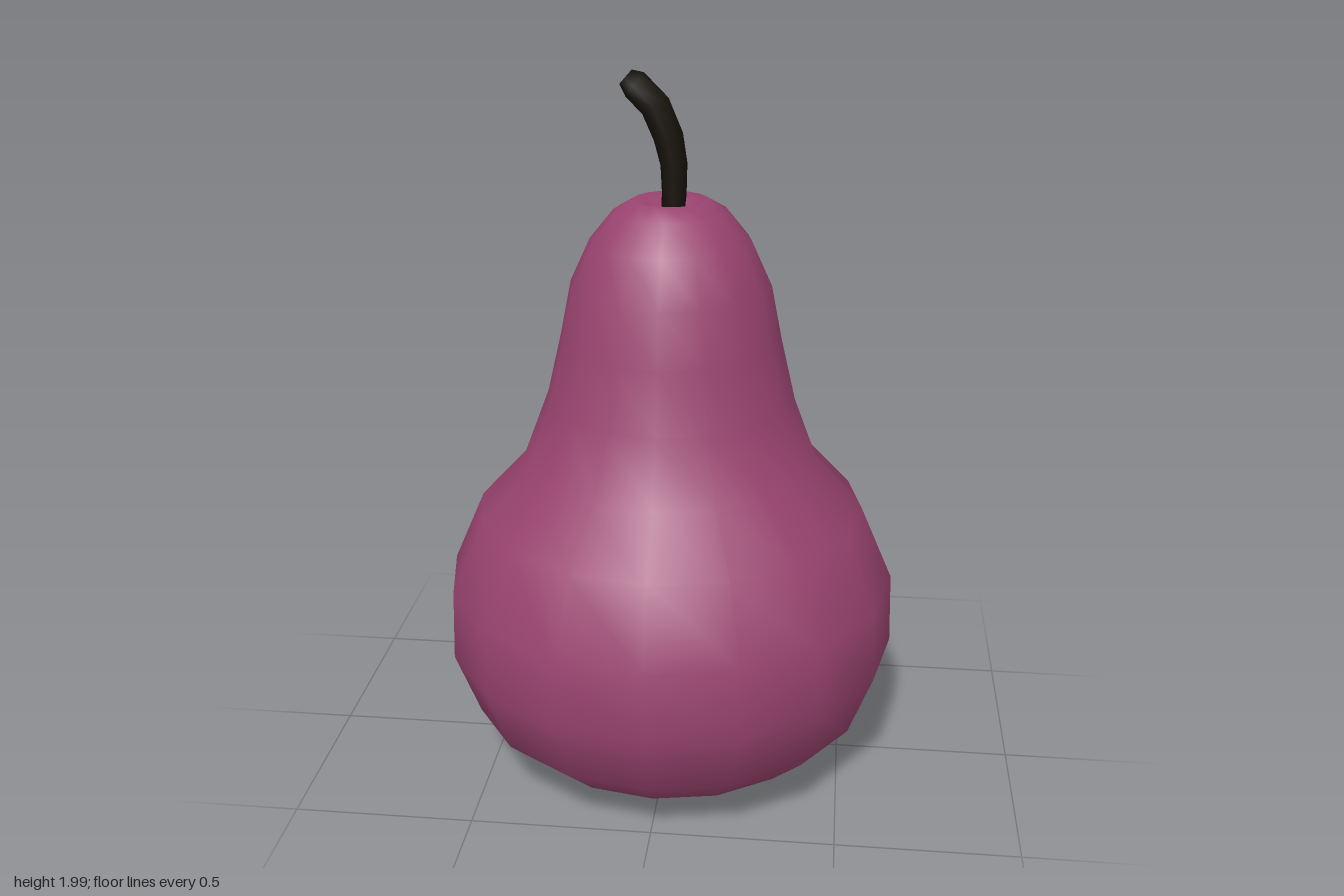
import * as THREE from 'three';
import { mergeVertices } from 'three/addons/utils/BufferGeometryUtils.js';

// Turned solid whose vertices are moved by a rule, with a smooth seam
function turned(profile, sides, move) {
  let geo = new THREE.LatheGeometry(profile.map(([r, y]) => new THREE.Vector2(r, y)), sides);
  geo.deleteAttribute('uv');
  geo.deleteAttribute('normal');
  geo = mergeVertices(geo, 1e-5);
  const pos = geo.attributes.position;
  const v = new THREE.Vector3();
  for (let i = 0; i < pos.count; i++) {
    move(v.fromBufferAttribute(pos, i));
    pos.setXYZ(i, v.x, v.y, v.z);
  }
  geo.computeVertexNormals();
  return geo;
}

export function createModel() {
  const group = new THREE.Group();

  // Pear body: dented at both ends, four soft lobes underneath
  const bodyProfile = [
    [0, 0.1], [0.035, 0.075], [0.11, 0.025], [0.235, 0.002], [0.33, 0.008],
    [0.455, 0.08], [0.57, 0.185], [0.64, 0.37], [0.634, 0.57], [0.545, 0.775],
    [0.415, 0.915], [0.345, 1.1], [0.305, 1.27], [0.275, 1.42], [0.22, 1.54],
    [0.155, 1.62], [0.1, 1.652], [0.05, 1.63], [0, 1.595],
  ];
  const body = new THREE.Mesh(
    turned(bodyProfile, 16, (v) => {
      const r = Math.hypot(v.x, v.z);
      if (v.y > 0.3 || r < 0.05) return;
      const fade = THREE.MathUtils.clamp((0.46 - r) / 0.16, 0, 1);
      v.y += 0.02 * fade * (1 + Math.cos(4 * Math.atan2(v.z, v.x)));
    }),
    new THREE.MeshStandardMaterial({ color: 0x9a4470 })
  );
  body.name = 'pearBody';
  group.add(body);

  // Stem: a tapered rod bent along a curve towards -x
  const path = new THREE.CatmullRomCurve3([
    [0.003, 1.58], [0.01, 1.73], [-0.012, 1.835], [-0.05, 1.91], [-0.118, 1.97],
  ].map(([x, y]) => new THREE.Vector3(x, y, 0)));
  const stemProfile = [
    [0, 0], [0.03, 0], [0.033, 0.2], [0.036, 0.38], [0.04, 0.55],
    [0.041, 0.75], [0.04, 0.93], [0.025, 1], [0, 1],
  ];
  const stem = new THREE.Mesh(
    turned(stemProfile, 8, (v) => {
      const p = path.getPointAt(v.y);
      const t = path.getTangentAt(v.y);
      v.set(p.x + t.y * v.x, p.y - t.x * v.x, v.z);
    }),
    new THREE.MeshStandardMaterial({ color: 0x16110a })
  );
  stem.name = 'stem';
  group.add(stem);

  return group;
}
